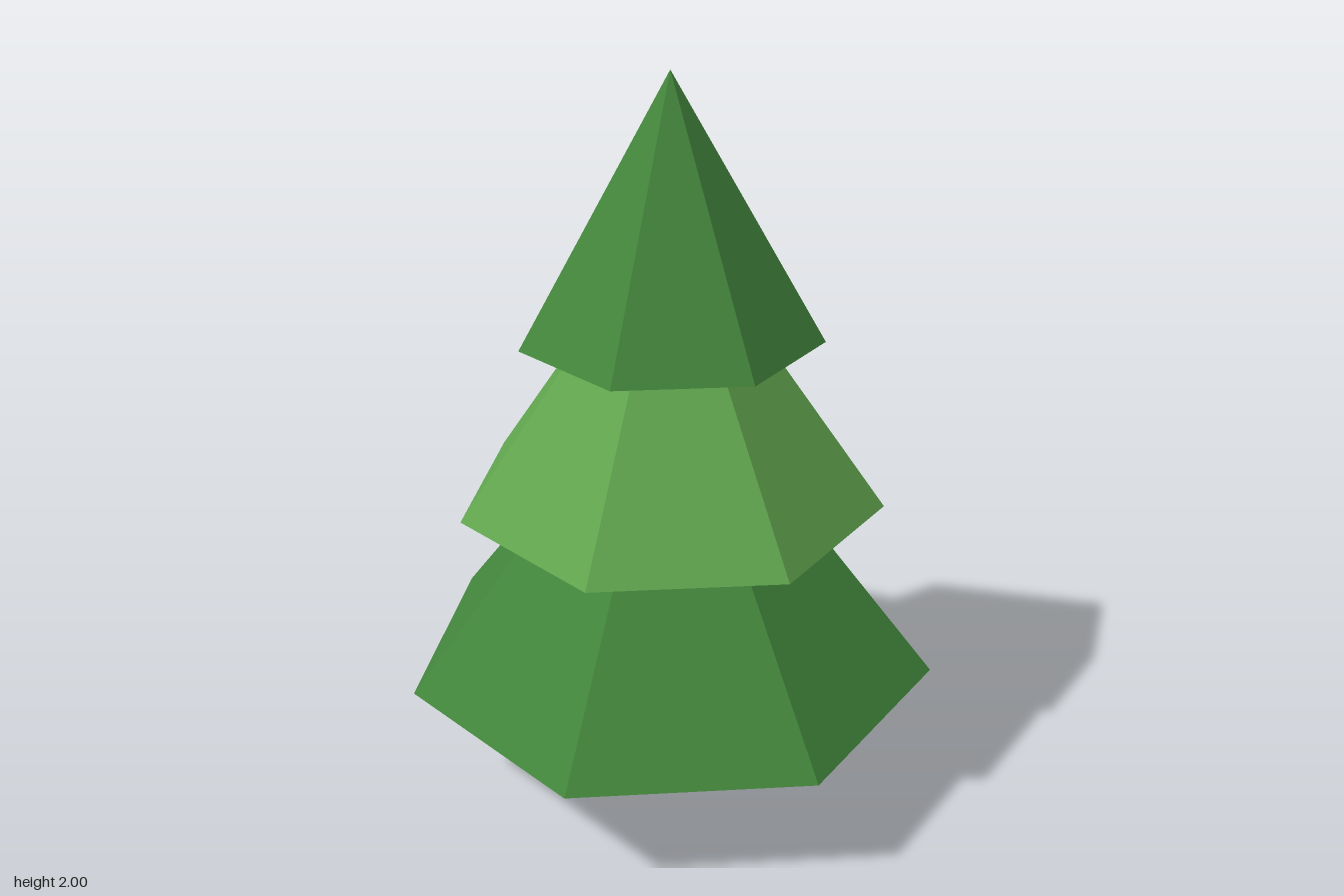
import * as THREE from 'three';

const flat = (name, color) => {
  const m = new THREE.MeshStandardMaterial({ color, flatShading: true });
  m.name = name;
  return m;
};

export function createModel() {
  const tree = new THREE.Group();
  tree.name = 'pineTree';
  const darkGreen = flat('dark green', 0x43863c);
  const lightGreen = flat('light green', 0x61a64f);
  const brown = flat('bark brown', 0x7a5439);
  const axisZ = 0.035; // the seven-sided crown is centred by its bounds

  const add = (name, geometry, material, y) => {
    const mesh = new THREE.Mesh(geometry, material);
    mesh.name = name;
    mesh.position.set(0, y, axisZ);
    tree.add(mesh);
  };

  // Six-sided trunk, corners pointing front and back
  add('trunk', new THREE.CylinderGeometry(0.137, 0.137, 0.33, 6), brown, 0.165);

  // Three overlapping seven-sided cones, one corner pointing back
  const tiers = [
    ['lowerFoliage', 0.744, 0.32, 1.265, darkGreen],
    ['middleFoliage', 0.587, 0.83, 1.65, lightGreen],
    ['topFoliage', 0.411, 1.3, 2, darkGreen],
  ];
  for (const [name, radius, base, tip, material] of tiers) {
    const cone = new THREE.ConeGeometry(radius, tip - base, 7, 1, false, Math.PI);
    add(name, cone, material, (base + tip) / 2);
  }
  return tree;
}
